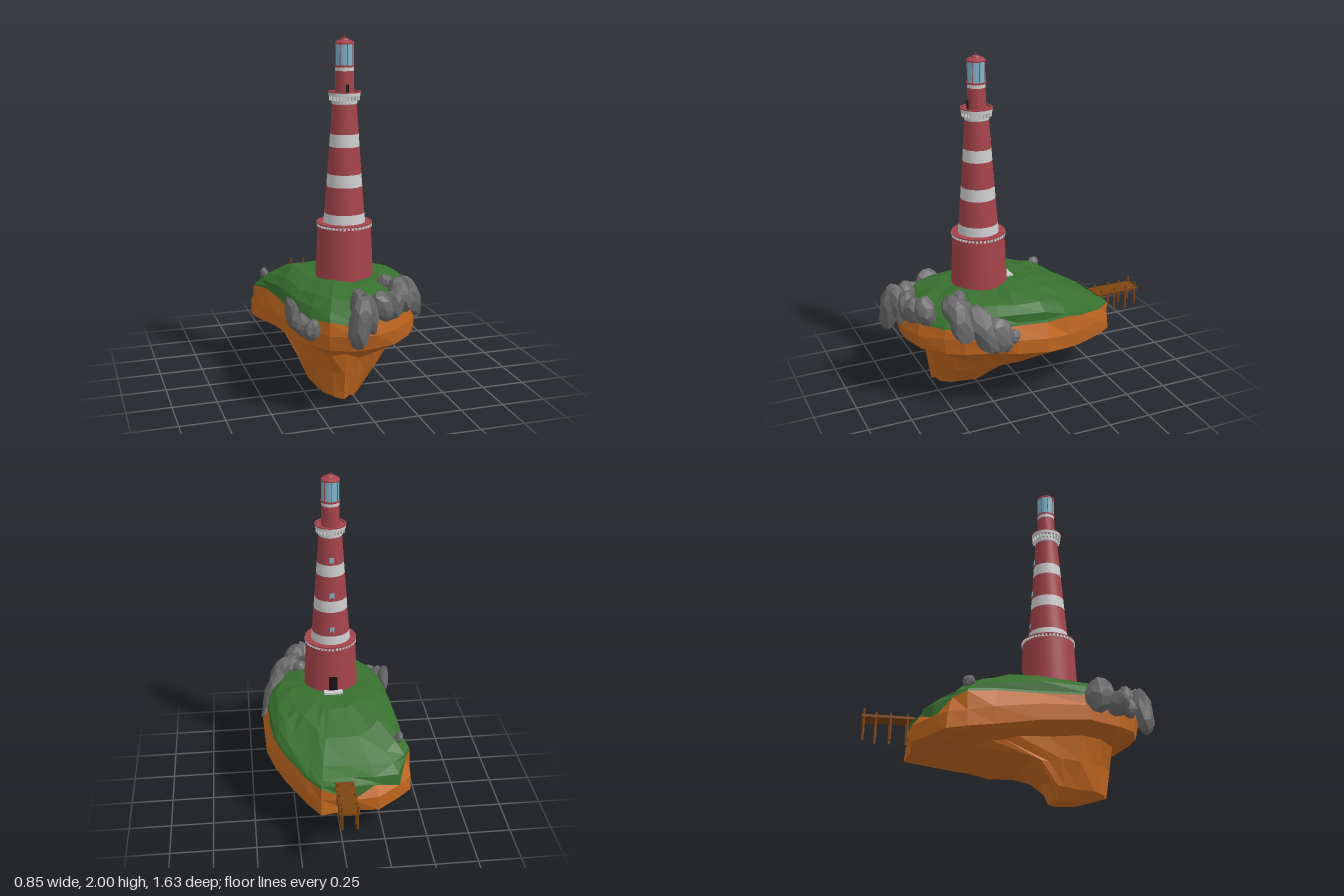
import * as THREE from 'three';
import { toCreasedNormals } from 'three/addons/utils/BufferGeometryUtils.js';

const mat = (color, flat = false) =>
  new THREE.MeshStandardMaterial({ color, flatShading: flat, side: THREE.DoubleSide });
const RED = mat(0xa4434a), WHITE = mat(0xcccccc), DARK = mat(0x1a1414), GLASS = mat(0x7fb4c9);
const GRASS = mat(0x38702f, true), EARTH = mat(0xc0661f, true), STONE = mat(0x686868, true), WOOD = mat(0x7d4512);

function add(parent, name, geo, material, x = 0, y = 0, z = 0) {
  const m = new THREE.Mesh(geo, material);
  m.name = name;
  m.position.set(x, y, z);
  parent.add(m);
  return m;
}
const box = (w, h, d) => new THREE.BoxGeometry(w, h, d);
const lathe = (pts, seg = 32) =>
  toCreasedNormals(new THREE.LatheGeometry(pts.map(p => new THREE.Vector2(...p)), seg), 0.5);

function seeded(seed) {
  let s = seed;
  return () => (s = (s * 16807) % 2147483647) / 2147483647;
}

// Ring of small blocks standing around the tower axis
function blockRing(parent, name, count, radius, y, size, material) {
  for (let i = 0; i < count; i++) {
    const a = (i / count) * Math.PI * 2;
    add(parent, name, box(...size), material, Math.sin(a) * radius, y, Math.cos(a) * radius).rotation.y = a;
  }
}

// Skin through rings of equal point count, listed from top to bottom
function skin(rings) {
  const n = rings[0].length, idx = [];
  for (let r = 0; r < rings.length - 1; r++)
    for (let i = 0; i < n; i++) {
      const a = r * n + i, b = r * n + (i + 1) % n;
      idx.push(a, b, a + n, b, b + n, a + n);
    }
  const g = new THREE.BufferGeometry();
  g.setAttribute('position', new THREE.Float32BufferAttribute(rings.flat(2), 3));
  g.setIndex(idx);
  g.computeVertexNormals();
  return g;
}

function island() {
  const g = new THREE.Group();
  g.name = 'island';
  // Outline seen from above (x, z), clockwise from the back
  const outline = [
    [0.13, -0.565], [0.2, -0.47], [0.32, -0.28], [0.37, -0.17], [0.415, -0.03], [0.42, 0.17],
    [0.39, 0.28], [0.33, 0.45], [0.27, 0.55], [0.15, 0.66], [0.02, 0.71], [-0.1, 0.71],
    [-0.22, 0.66], [-0.3, 0.55], [-0.36, 0.37], [-0.385, 0.1], [-0.41, -0.15], [-0.42, -0.3],
    [-0.41, -0.4], [-0.33, -0.47], [-0.2, -0.56], [-0.05, -0.56]];
  const rnd = seeded(11);
  const { smoothstep, lerp } = THREE.MathUtils;
  const back = z => 1 - smoothstep(z, -0.68, 0.05); // 0 in front, 1 at the back end

  // Grass: flat plateau that slopes down to the back, with a ragged rim
  const rimY = z => 0.545 - 0.125 * back(z);
  const grassRing = s => outline.map(([x, z]) => {
    const pz = 0.1 + (z - 0.1) * s;
    const top = 0.682 - 0.25 * back(pz) ** 1.3;
    const y = lerp(top, rimY(pz), s ** (z > 0 ? 4.5 : 3.5));
    return [x * s, y + (s > 0.4 ? (rnd() - 0.5) * 0.02 : 0), pz];
  });
  const notches = [4, 5, 15, 16, 18, 20], tongues = [19, 21];
  const rim = outline.map(([x, z], i) => {
    if (tongues.includes(i)) return [x * 0.995, 0.34, z * 0.995];
    const k = notches.includes(i) ? 0.92 : 0.985;
    return [x * k, rimY(z) - rnd() * 0.03, z * k];
  });
  const brow = rim.map(([x, y, z], i) => [x * 0.985, tongues.includes(i) ? 0.43 : y + 0.015, z * 0.985]);
  add(g, 'grass', skin([...[0, 0.3, 0.58, 0.8, 0.91].map(grassRing), brow, rim]), GRASS);

  // Earth: cliff narrowing to an off-centre foot; scales are left, right, back, front
  const cx = -0.09, cz = 0.28;
  const earthRing = ([left, right, rear, front], yBack, yFront, jitter = 0, tilt = 0) => outline.map(([x, z]) => {
    const j = 1 + (rnd() - 0.5) * jitter;
    return [
      cx + (x - cx) * (x > cx ? right : left) * j,
      lerp(yBack, yFront, smoothstep(z, -0.62, 0.35)) - x * tilt + (rnd() - 0.5) * jitter * 0.25,
      cz + (z - cz) * (z > cz ? front : rear) * j];
  });
  add(g, 'earth', skin([
    rim,
    earthRing([1, 1, 1, 1], 0.35, 0.47, 0.02),
    earthRing([0.99, 0.99, 0.995, 0.96], 0.257, 0.385, 0.03),
    earthRing([0.62, 0.66, 0.64, 0.64], 0.215, 0.3, 0.1, 0.09),
    earthRing([0.52, 0.5, 0.28, 0.58], 0.19, 0.18, 0.12, 0.03),
    earthRing([0.39, 0.28, 0.14, 0.53], 0.09, 0.05, 0.08),
    earthRing([0.22, 0.11, 0.1, 0.19], 0, 0),
    outline.map(() => [cx, 0, cz])]), EARTH);
  return g;
}

function boulders() {
  const g = new THREE.Group();
  g.name = 'boulders';
  // Centre x, y, z, then half sizes, then tilt about x and z
  const list = [
    [0.375, 0.49, 0.25, 0.045, 0.11, 0.075, 0.3, 0.25], [0.34, 0.53, 0.34, 0.06, 0.16, 0.08, 0.45, 0.35],
    [0.3, 0.58, 0.45, 0.06, 0.14, 0.08, 0.2, 0.4], [0.23, 0.63, 0.48, 0.065, 0.08, 0.065, 0.3, 0.5],
    [0.17, 0.66, 0.42, 0.045, 0.045, 0.045, 0, 0.2], [0.4, 0.48, 0.18, 0.025, 0.045, 0.035, 0, 0.2],
    [-0.055, 0.62, 0.655, 0.05, 0.1, 0.055, 0.1, 0.1], [-0.08, 0.565, 0.75, 0.06, 0.15, 0.06, -0.1, -0.15],
    [-0.02, 0.58, 0.7, 0.05, 0.13, 0.06, 0.2, 0.2], [0.06, 0.615, 0.69, 0.06, 0.09, 0.055, 0, 0.4],
    [0.12, 0.61, 0.665, 0.065, 0.09, 0.065, 0.3, -0.3], [0.19, 0.635, 0.63, 0.06, 0.085, 0.06, 0.1, 0.5],
    [-0.36, 0.53, 0.42, 0.035, 0.1, 0.08, 0.3, 0.15], [-0.335, 0.5, 0.53, 0.05, 0.075, 0.065, 0.2, 0.5],
    [-0.3, 0.49, 0.6, 0.045, 0.06, 0.045, 0, -0.3], [-0.35, 0.56, -0.28, 0.025, 0.035, 0.035, 0, 0.2]];
  list.forEach(([x, y, z, a, b, c, rx, rz], n) => {
    const geo = new THREE.IcosahedronGeometry(1, 1), p = geo.attributes.position;
    const v = new THREE.Vector3();
    for (let i = 0; i < p.count; i++) {
      v.fromBufferAttribute(p, i);
      const bump = 1 + 0.13 * Math.sin(v.x * 5 + n * 2.1) * Math.cos(v.y * 4 - n + v.z * 3);
      p.setXYZ(i, v.x * a * bump, v.y * b * bump, v.z * c * bump);
    }
    geo.computeVertexNormals();
    add(g, 'boulder', geo, STONE, x, y, z).rotation.set(rx, 0, rz);
  });
  return g;
}

function lighthouse() {
  const g = new THREE.Group();
  g.name = 'lighthouse';
  g.position.set(-0.005, 0, 0.228);

  // Base drum with a capped ledge on small blocks
  add(g, 'baseDrum', lathe([[0.164, 0.62], [0.162, 0.68], [0.149, 0.96]]), RED);
  add(g, 'ledgeCap', lathe([[0.14, 0.97], [0.155, 0.97], [0.155, 0.977], [0.11, 0.977]]), RED);
  blockRing(g, 'ledgeBlock', 44, 0.149, 0.963, [0.012, 0.015, 0.012], WHITE);

  // Tapering shaft in alternating bands
  const bands = [[0.96, 0.119], [1.03, 0.112], [1.18, 0.1], [1.25, 0.095], [1.4, 0.084], [1.47, 0.079], [1.635, 0.067]];
  for (let i = 0; i < bands.length - 1; i++) {
    const [[y0, r0], [y1, r1]] = [bands[i], bands[i + 1]];
    add(g, 'shaftBand', lathe([[r0, y0], [r1, y1]]), i % 2 ? RED : WHITE);
  }

  // Gallery on corbels
  add(g, 'gallery', lathe([[0.067, 1.63], [0.071, 1.635], [0.071, 1.675], [0.088, 1.677], [0.088, 1.694]]), WHITE);
  add(g, 'galleryFloor', lathe([[0.088, 1.694], [0.091, 1.694], [0.091, 1.7], [0.08, 1.7], [0.08, 1.69], [0.04, 1.69]]), RED);
  blockRing(g, 'corbel', 22, 0.077, 1.664, [0.009, 0.025, 0.015], WHITE);

  // Watch room
  add(g, 'watchRoom', lathe([[0.053, 1.68], [0.051, 1.81]]), RED);
  add(g, 'watchRoomBand', lathe([[0.051, 1.81], [0.051, 1.832]]), WHITE);
  add(g, 'galleryDoor', box(0.018, 0.055, 0.006), DARK, 0, 1.713, 0.052);

  // Lantern with bars, roof and spike
  add(g, 'lanternSill', lathe([[0.045, 1.83], [0.055, 1.83], [0.055, 1.84], [0.045, 1.84]]), RED);
  add(g, 'lanternGlass', new THREE.CylinderGeometry(0.05, 0.05, 0.12, 24), GLASS, 0, 1.896, 0);
  blockRing(g, 'lanternBar', 8, 0.05, 1.896, [0.004, 0.12, 0.004], RED);
  add(g, 'roof', lathe([[0.045, 1.952], [0.054, 1.952], [0.054, 1.96], [0.04, 1.971], [0.026, 1.974], [0.022, 1.981], [0.008, 1.985], [0, 1.986]], 24), RED);
  add(g, 'spike', new THREE.CylinderGeometry(0.0015, 0.003, 0.018, 6), RED, 0, 1.991, 0);

  // Back door, step and windows
  add(g, 'door', box(0.05, 0.1, 0.012), DARK, 0, 0.73, -0.156);
  add(g, 'doorStep', box(0.11, 0.035, 0.05), WHITE, 0, 0.674, -0.166);
  for (const [y, r] of [[1.07, 0.105], [1.285, 0.089], [1.5, 0.074]])
    add(g, 'window', box(0.028, 0.034, 0.008), GLASS, 0, y, -r);
  return g;
}

function dock() {
  const g = new THREE.Group();
  g.name = 'dock';
  add(g, 'deck', box(0.108, 0.014, 0.285), WOOD, -0.004, 0.445, -0.672);
  for (const [z, lift] of [[-0.568, 0], [-0.66, 0], [-0.738, 0], [-0.803, 0.018]])
    for (const x of [-0.046, 0.038])
      add(g, 'post', new THREE.CylinderGeometry(0.0065, 0.0065, 0.15, 8), WOOD, x, 0.395 + lift, z);
  return g;
}

export function createModel() {
  const model = new THREE.Group();
  model.name = 'lighthouseIsland';
  model.add(island(), boulders(), lighthouse(), dock());
  return model;
}
